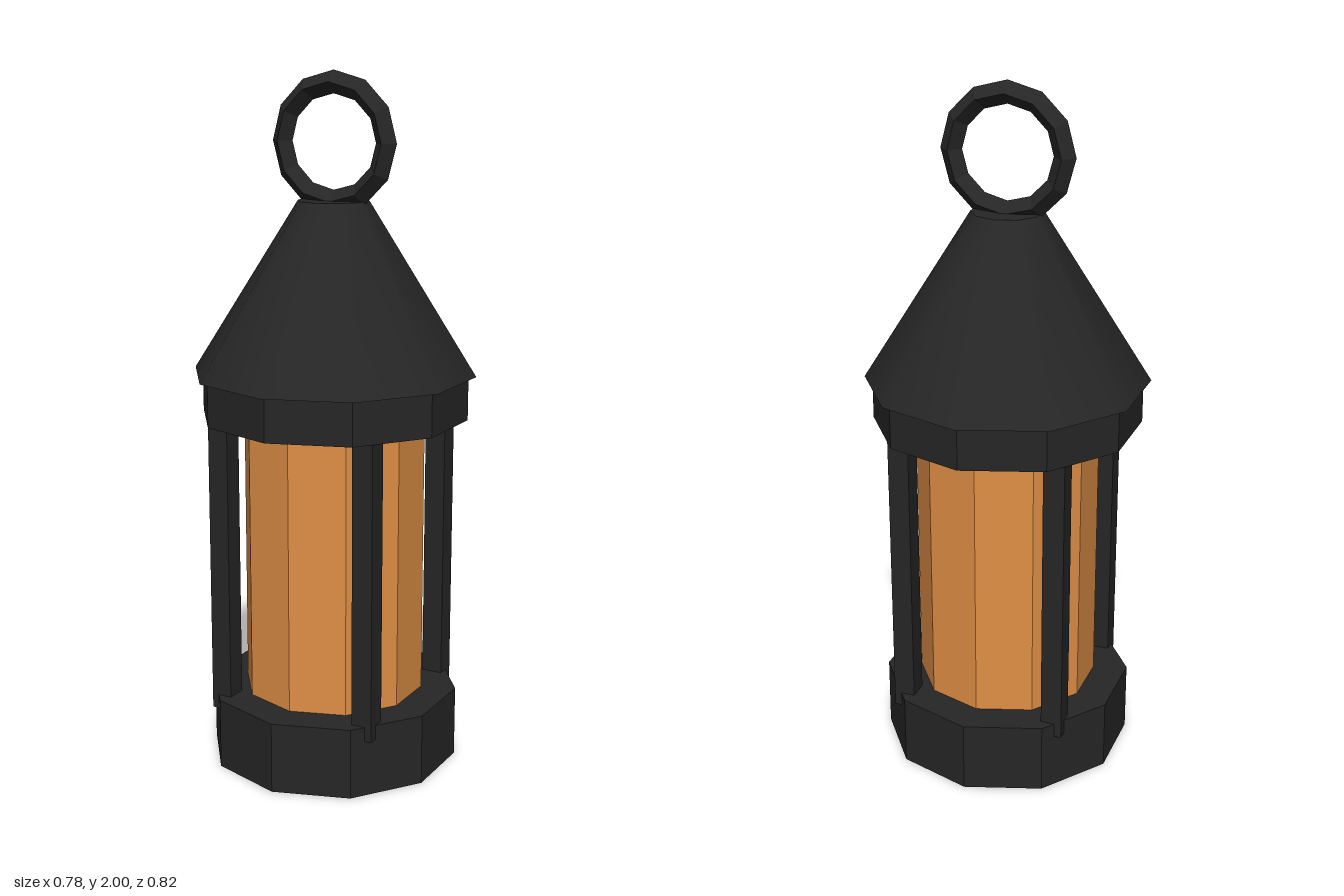
import * as THREE from 'three';

export function createModel() {
  const iron = new THREE.MeshStandardMaterial({ color: 0x262626 });
  iron.name = 'blackIron';
  const amber = new THREE.MeshStandardMaterial({ color: 0xe08f45 });
  amber.name = 'amberGlass';

  const lantern = new THREE.Group();
  lantern.name = 'lantern';

  function add(name, geometry, material, x, y, z) {
    const mesh = new THREE.Mesh(geometry, material);
    mesh.name = name;
    mesh.position.set(x, y, z);
    lantern.add(mesh);
    return mesh;
  }

  // Ten-sided drum or cone between two heights, faceted unless smooth
  function drum(name, rTop, rBottom, y0, y1, material, smooth = false) {
    let geometry = new THREE.CylinderGeometry(rTop, rBottom, y1 - y0, 10);
    if (!smooth) {
      geometry = geometry.toNonIndexed();
      geometry.computeVertexNormals();
    }
    return add(name, geometry, material, 0, (y0 + y1) / 2, 0);
  }

  drum('base', 0.367, 0.367, 0, 0.207, iron);
  drum('glass', 0.265, 0.265, 0.19, 1.05, amber);
  drum('roofRim', 0.388, 0.388, 1.027, 1.155, iron);
  drum('roof', 0.102, 0.41, 1.153, 1.643, iron, true);

  // Four corner posts, slightly overlapping base and rim
  for (const [name, sx, sz] of [
    ['postFrontLeft', 1, 1], ['postFrontRight', -1, 1],
    ['postBackLeft', 1, -1], ['postBackRight', -1, -1],
  ]) {
    add(name, new THREE.BoxGeometry(0.062, 0.9, 0.062), iron, sx * 0.231, 0.615, sz * 0.231);
  }

  // Carrying ring with a diamond cross-section
  const ringGeometry = new THREE.TorusGeometry(0.164, 0.032, 4, 12).toNonIndexed();
  ringGeometry.computeVertexNormals();
  add('carryingRing', ringGeometry, iron, 0, 1.804, 0);

  return lantern;
}
